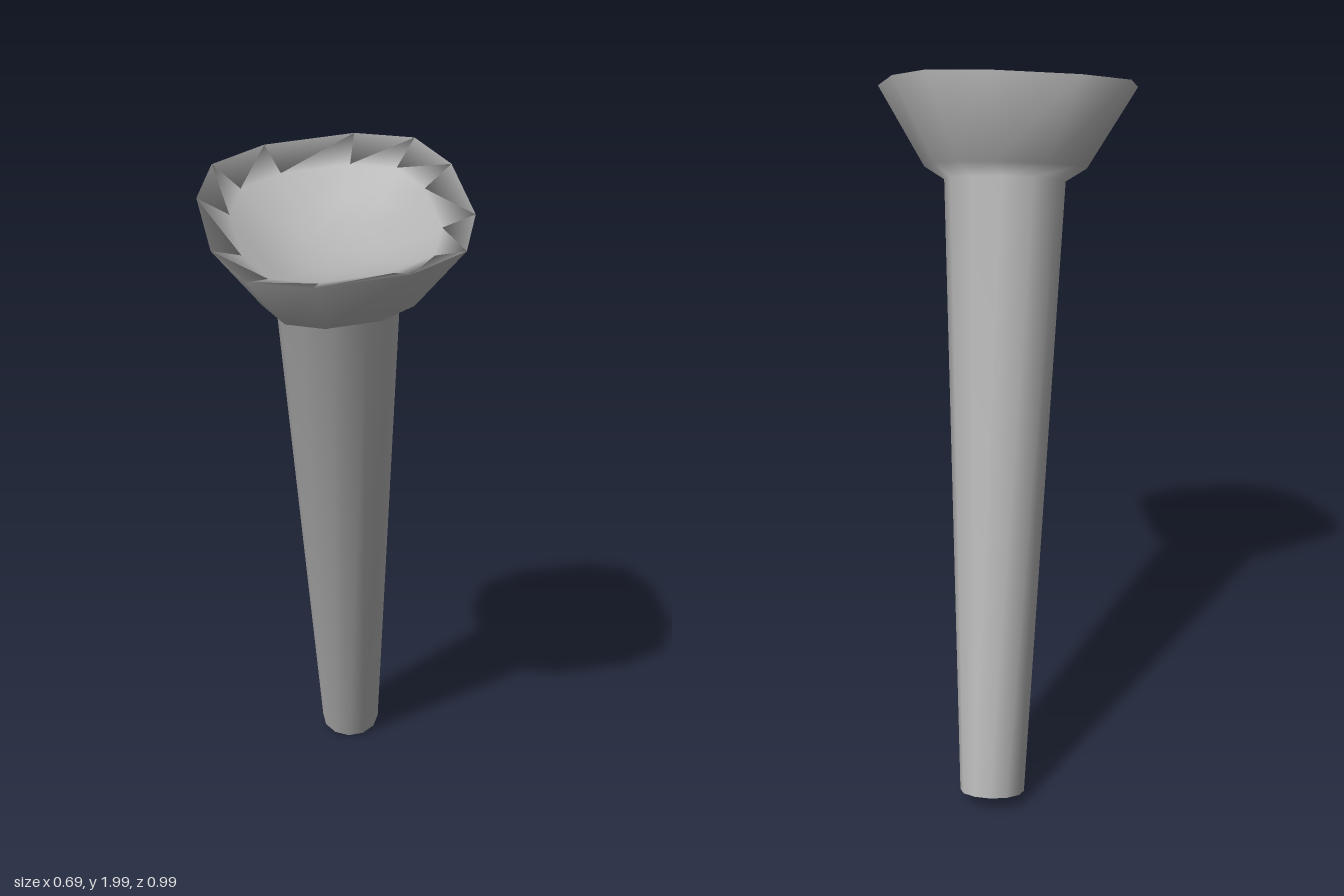
import * as THREE from 'three';

const gray = new THREE.MeshStandardMaterial({ color: 0xb3b3b3 });
gray.name = 'plain gray';

const SIDES = 12;
const rad = THREE.MathUtils.degToRad;

// One corner of a cross-section: square = 0 is round, square = 1 is a rounded square
function corner(i, r, square) {
  const quarter = Math.floor(i / 3) * 90;
  const k = (i % 3) - 1;
  const angle = rad(quarter + 45 + k * THREE.MathUtils.lerp(30, 25, square));
  const stretch = k === 0 ? 1.13 : 1.045;
  const radius = r * THREE.MathUtils.lerp(1.02, stretch, square);
  return [radius * Math.cos(angle), -radius * Math.sin(angle)];
}

// Joins rings [height, radius, squareness] in order; a zero radius closes the end
function loft(rings) {
  const positions = [];
  const index = [];
  for (const [h, r, square] of rings) {
    for (let i = 0; i < SIDES; i++) {
      const [x, z] = corner(i, r, square);
      positions.push(x, h, z);
      if (r === 0) break;
    }
  }
  for (let j = 0; j < rings.length - 1; j++) {
    const low = j * SIDES;
    const high = low + SIDES;
    const closed = rings[j + 1][1] === 0;
    for (let i = 0; i < SIDES; i++) {
      const n = (i + 1) % SIDES;
      if (closed) index.push(low + i, low + n, high);
      else index.push(low + i, low + n, high + n, low + i, high + n, high + i);
    }
  }
  const geometry = new THREE.BufferGeometry();
  geometry.setAttribute('position', new THREE.Float32BufferAttribute(positions, 3));
  geometry.setIndex(index);
  geometry.computeVertexNormals();
  return geometry;
}

export function createModel() {
  const model = new THREE.Group();
  model.name = 'cuppedPeg';

  // Heights are measured along the leaning axis, from the middle of the rim
  const peg = new THREE.Group();
  peg.name = 'leaningPeg';
  const foot = -1.947;

  // Tapered leg, flared cup and its hollow, as one smooth skin
  const skin = new THREE.Mesh(loft([
    [foot, 0.087, 0],
    [-0.255, 0.163, 0],
    [-0.22, 0.215, 0.8],
    [0, 0.342, 1],
    [-0.045, 0.262, 1],
    [-0.10, 0.19, 0.8],
    [-0.13, 0.1, 0.4],
    [-0.14, 0, 0],
  ]), gray);
  skin.name = 'legAndCup';

  // Flat end of the leg
  const cap = new THREE.Mesh(new THREE.CircleGeometry(0.0887, SIDES, rad(15)), gray);
  cap.name = 'footCap';
  cap.rotation.x = Math.PI / 2;
  cap.position.y = foot;
  peg.add(skin, cap);

  // Small twist, then lean along the axis
  const up = new THREE.Vector3(0, 1, 0);
  const axis = new THREE.Vector3(-0.128, 1.855, 0.5785).normalize();
  peg.quaternion.setFromUnitVectors(up, axis)
    .multiply(new THREE.Quaternion().setFromAxisAngle(up, rad(4.2)));
  peg.position.set(0, 1.885, 0.1635);
  model.add(peg);
  return model;
}
